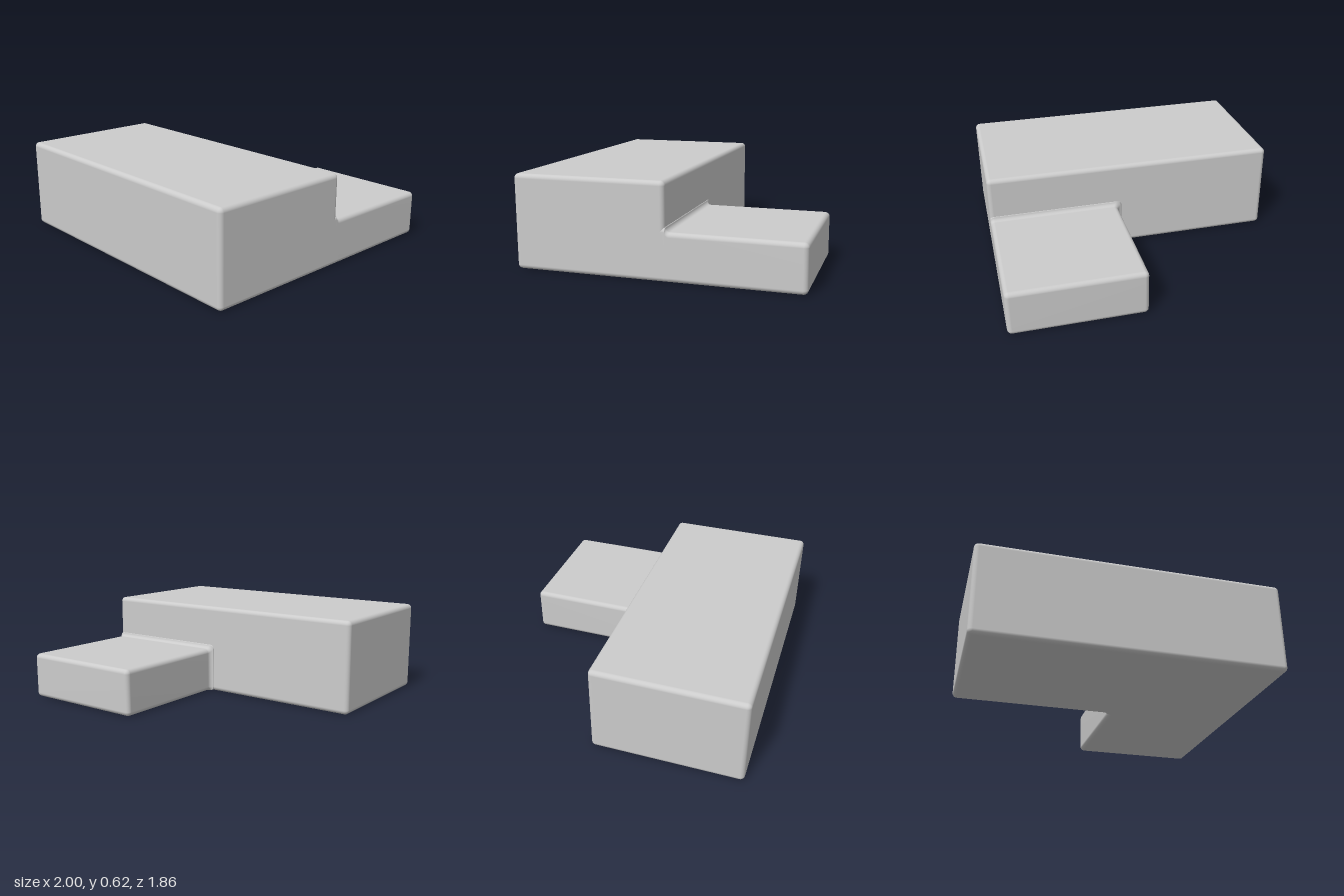
import * as THREE from 'three';
import { RoundedBoxGeometry } from 'three/addons/geometries/RoundedBoxGeometry.js';
import { mergeVertices } from 'three/addons/utils/BufferGeometryUtils.js';

const R = 0.03;      // radius of every rounded edge and inner fillet
const STEPS = 6;     // segments per quarter round
const STEP_Z = -0.07, BACK_Z = -0.93, FRONT_Z = 0.93;
const HIGH = 0.615, LOW = 0.308, LOW_LEFT = 0.107;

// rounded rectangle, counter-clockwise seen from +z
function section(x0, x1, y0, y1, r, z) {
  const corners = [[x1 - r, y0 + r, -1], [x1 - r, y1 - r, 0], [x0 + r, y1 - r, 1], [x0 + r, y0 + r, 2]];
  return corners.flatMap(([cx, cy, quarter]) =>
    Array.from({ length: STEPS + 1 }, (_, i) => {
      const a = (quarter + i / STEPS) * Math.PI / 2;
      return [cx + r * Math.cos(a), cy + r * Math.sin(a), z];
    }));
}

// joins the sections from back to front and closes the back
function loft(sections) {
  const n = sections[0].length;
  const points = sections.flat();
  const index = [];
  for (let i = 0; i < sections.length - 1; i++) {
    for (let j = 0; j < n; j++) {
      const k = (j + 1) % n;
      const a = i * n + j, b = i * n + k, c = b + n, d = a + n;
      index.push(a, b, c, a, c, d);
    }
  }
  for (let j = 1; j < n - 1; j++) index.push(0, j + 1, j);
  const g = new THREE.BufferGeometry();
  g.setAttribute('position', new THREE.Float32BufferAttribute(points.flat(), 3));
  g.setIndex(index);
  const merged = mergeVertices(g, 1e-5);
  merged.computeVertexNormals();
  return merged;
}

export function createModel() {
  const model = new THREE.Group();
  model.name = 'steppedBlock';
  const material = new THREE.MeshStandardMaterial({ color: 0xcccccc });

  // tall front block
  const tall = new THREE.Mesh(new RoundedBoxGeometry(2, HIGH, FRONT_Z - STEP_Z, STEPS, R), material);
  tall.name = 'tallBlock';
  tall.position.set(0, HIGH / 2, (FRONT_Z + STEP_Z) / 2);
  model.add(tall);

  // low back block: rounded back end, then a flare on the left and top into the tall block
  const sections = [];
  for (let i = 0; i <= STEPS; i++) {
    const a = (i / STEPS) * Math.PI / 2;
    const inset = R * (1 - Math.sin(a));
    sections.push(section(LOW_LEFT + inset, 1 - inset, inset, LOW - inset,
      R - inset, BACK_Z + R * (1 - Math.cos(a))));
  }
  for (let i = 0; i <= STEPS; i++) {
    const a = (i / STEPS) * Math.PI / 2;
    const flare = R * (1 - Math.cos(a));
    sections.push(section(LOW_LEFT - flare, 1, 0, LOW + flare, R, STEP_Z - R * (1 - Math.sin(a))));
  }
  // short tail that fills the rounded edges of the tall block
  sections.push(section(LOW_LEFT - R, 1, 0, LOW + R, R, STEP_Z + R));
  const low = new THREE.Mesh(loft(sections), material);
  low.name = 'lowBlock';
  model.add(low);

  return model;
}
